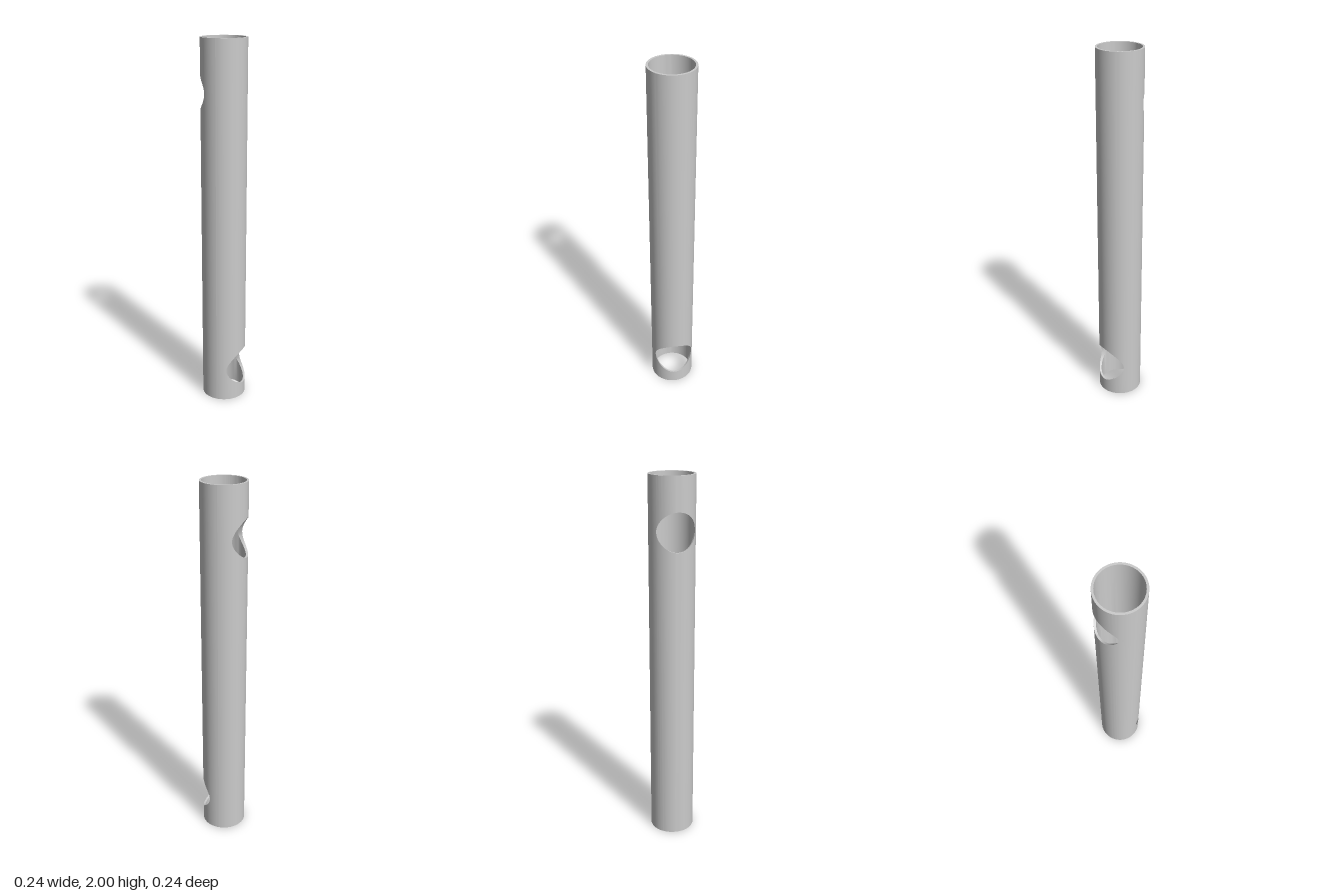
import * as THREE from 'three';
import { toCreasedNormals } from 'three/addons/utils/BufferGeometryUtils.js';

const HEIGHT = 2, OUTER = 0.121, INNER = 0.11;
const EDGE_STEPS = 6, HOLE_STEPS = 32;

// Half of the pipe on the +x side, pierced along x by a round hole.
function pipeHalf(holeY, holeR) {
  // Angle round the pipe and half height of the hole, for each column
  const count = HOLE_STEPS + 2 * EDGE_STEPS;
  const column = (i, radius) => {
    const end = Math.asin(holeR / radius);
    const k = i - EDGE_STEPS;
    if (k < 0) return [-THREE.MathUtils.lerp(Math.PI / 2, end, i / EDGE_STEPS), 0];
    if (k > HOLE_STEPS) {
      return [THREE.MathUtils.lerp(end, Math.PI / 2, (k - HOLE_STEPS) / EDGE_STEPS), 0];
    }
    const phi = (k / HOLE_STEPS - 0.5) * Math.PI;
    return [Math.asin(holeR * Math.sin(phi) / radius), holeR * Math.cos(phi)];
  };

  // Closed wall section below (side -1) or above (side 1) the hole
  const section = (i, side) => {
    const point = (radius, atTop) => {
      const [angle, half] = column(i, radius);
      const y = side < 0 ? (atTop ? holeY - half : 0) : (atTop ? HEIGHT : holeY + half);
      return [radius * Math.cos(angle), y, radius * Math.sin(angle)];
    };
    return [point(OUTER, false), point(OUTER, true), point(INNER, true), point(INNER, false)];
  };

  const positions = [];
  for (const side of [-1, 1]) {
    const holeEdge = side < 0 ? 1 : 3;
    for (let i = 0; i < count; i++) {
      const a = section(i, side), b = section(i + 1, side);
      const inHole = i >= EDGE_STEPS && i < EDGE_STEPS + HOLE_STEPS;
      for (let j = 0; j < 4; j++) {
        if (j === holeEdge && !inHole) continue;
        const n = (j + 1) % 4;
        positions.push(...a[j], ...a[n], ...b[n], ...a[j], ...b[n], ...b[j]);
      }
    }
  }
  const geometry = new THREE.BufferGeometry();
  geometry.setAttribute('position', new THREE.Float32BufferAttribute(positions, 3));
  return toCreasedNormals(geometry, 0.5);
}

export function createModel() {
  const group = new THREE.Group();
  group.name = 'piercedPipe';
  const material = new THREE.MeshStandardMaterial({ color: 0xcccccc });

  // Left half, hole near the bottom
  const left = new THREE.Mesh(pipeHalf(0.183, 0.108), material);
  left.name = 'pipeHalfWithLowerHole';

  // Right half, turned round, hole near the top
  const right = new THREE.Mesh(pipeHalf(1.725, 0.1), material);
  right.name = 'pipeHalfWithUpperHole';
  right.rotation.y = Math.PI;

  group.add(left, right);
  return group;
}
